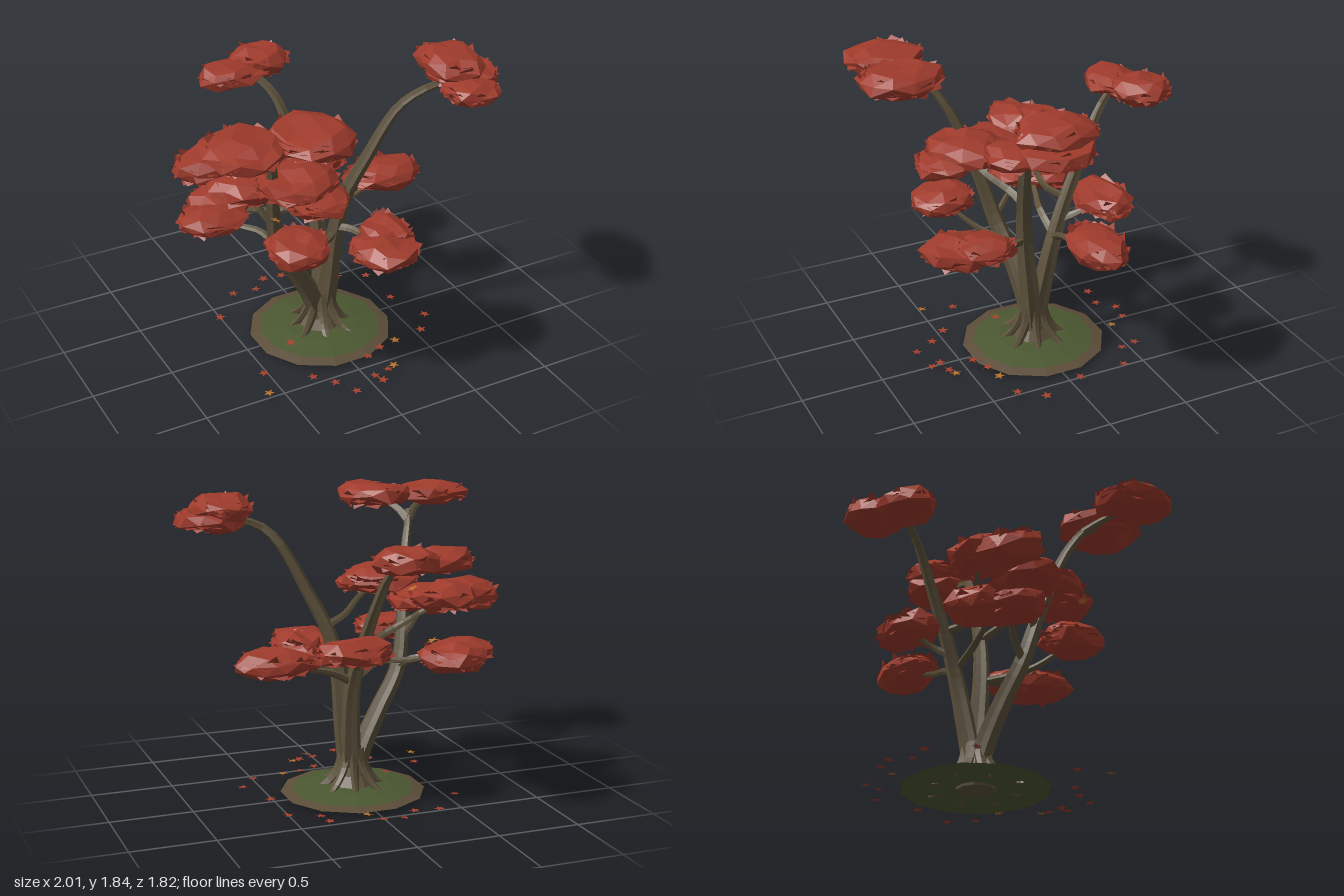
import * as THREE from 'three';
import { mergeGeometries } from 'three/addons/utils/BufferGeometryUtils.js';

const V = (x, y, z) => new THREE.Vector3(x, y, z);
const std = (name, color, side = THREE.FrontSide) => {
  const m = new THREE.MeshStandardMaterial({ color, side, flatShading: true });
  m.name = name;
  return m;
};

// small seeded random source
function seeded(seed) {
  let s = seed * 7919 + 17;
  return () => {
    s = (s * 1664525 + 1013904223) % 4294967296;
    return s / 4294967296;
  };
}

// tapered, ridged limb along a smooth path
function limb(points, r0, r1, sides = 8, segments = 14, ridge = 0.13) {
  const curve = new THREE.CatmullRomCurve3(points.map(p => V(...p)));
  const geo = new THREE.TubeGeometry(curve, segments, 1, sides, false);
  const pos = geo.attributes.position, v = V(0, 0, 0);
  for (let i = 0; i <= segments; i++) {
    const c = curve.getPointAt(i / segments);
    const r = THREE.MathUtils.lerp(r0, r1, i / segments);
    for (let j = 0; j <= sides; j++) {
      const k = i * (sides + 1) + j;
      v.fromBufferAttribute(pos, k).sub(c);
      v.multiplyScalar(r * (1 + (j % 2 ? ridge : -ridge))).add(c);
      pos.setXYZ(k, v.x, v.y, v.z);
    }
  }
  return geo;
}

// flattened, uneven clump of foliage with large facets
function clump([x, y, z, rx, ry, rz], seed) {
  const rnd = seeded(seed), seen = new Map();
  const geo = new THREE.IcosahedronGeometry(1, 1);
  geo.rotateY(rnd() * 6).rotateX(rnd() * 6);
  const pos = geo.attributes.position, v = V(0, 0, 0);
  for (let i = 0; i < pos.count; i++) {
    v.fromBufferAttribute(pos, i);
    const key = [v.x, v.y, v.z].map(n => Math.round(n * 1000)).join();
    if (!seen.has(key)) seen.set(key, [0.88 + 0.2 * rnd(), (rnd() - 0.5) * 0.45]);
    const [k, dy] = seen.get(key);
    const h = Math.sign(v.y) * Math.abs(v.y) ** 0.8;
    pos.setXYZ(i, x + v.x * k * rx, y + (h * k + dy) * ry, z + v.z * k * rz);
  }
  return geo;
}

// leaf points lying along the sides of a clump
function leafTips([x, y, z, rx, ry, rz], seed) {
  const rnd = seeded(seed + 100), out = [];
  for (let i = 0; i < 56; i++) {
    const a = rnd() * Math.PI * 2, h = rnd() * 1.3 - 0.75, w = Math.sqrt(1 - h * h);
    const at = (da, s, dh) => out.push(
      x + Math.cos(a + da) * w * s * rx, y + (h + dh) * s * ry, z + Math.sin(a + da) * w * s * rz);
    const d = 0.15 + rnd() * 0.2;
    at(-d, 0.9, 0);
    at((rnd() - 0.5) * 0.5, 1 + rnd() * 0.04, (rnd() - 0.4) * 0.8);
    at(d, 0.9, (rnd() - 0.5) * 0.5);
  }
  const geo = new THREE.BufferGeometry();
  geo.setAttribute('position', new THREE.Float32BufferAttribute(out, 3));
  geo.computeVertexNormals();
  return geo;
}

// five-pointed leaf lying flat
function starLeaf(r, turn) {
  const shape = new THREE.Shape();
  for (let i = 0; i < 10; i++) {
    const a = i * Math.PI / 5 + turn, k = i % 2 ? r * 0.42 : r;
    shape[i ? 'lineTo' : 'moveTo'](Math.cos(a) * k, Math.sin(a) * k);
  }
  return new THREE.ShapeGeometry(shape).rotateX(-Math.PI / 2);
}

export function createModel() {
  const model = new THREE.Group();
  const bark = std('bark brown', 0x5e523c);
  const grass = std('moss green', 0x4b5831);
  const soil = std('soil brown', 0x5c4d39);
  const red = std('leaf red', 0x9f3b2c);
  const tipRed = std('leaf tip red', 0x9a382a, THREE.DoubleSide);
  const fallenRed = std('fallen leaf red', 0xa8402c, THREE.DoubleSide);
  const orange = std('leaf orange', 0xb5702a, THREE.DoubleSide);
  const add = (name, geo, mat, parent = model) => {
    const m = new THREE.Mesh(geo, mat);
    m.name = name;
    parent.add(m);
    return m;
  };
  const lathe = (pts, n) => new THREE.LatheGeometry(pts.map(p => new THREE.Vector2(...p)), n, Math.PI / 12);

  // low mound of ground with a bare rim
  add('groundTop', lathe([[0.375, 0.032], [0.22, 0.056], [0, 0.066]], 12), grass);
  add('groundRim', lathe([[0.44, 0.016], [0.375, 0.032]], 12), soil);
  add('groundUnderside', lathe([[0, 0.02], [0.44, 0.016]], 12), grass);

  // flared foot and spreading roots
  add('trunkFoot', lathe([[0, 0.004], [0.115, 0.004], [0.13, 0.06], [0.092, 0.12], [0.073, 0.19],
    [0.064, 0.27], [0, 0.31]], 10), bark);
  const roots = [];
  for (let i = 0; i < 8; i++) {
    const a = i * Math.PI / 4 + 0.25, c = Math.cos(a), s = Math.sin(a), k = i % 2 ? 1 : 0.9;
    roots.push(limb([[c * 0.045, 0.28, s * 0.045], [c * 0.078, 0.17, s * 0.078],
      [c * 0.15 * k, 0.08, s * 0.15 * k], [c * 0.22 * k, 0.036, s * 0.22 * k],
      [c * 0.3 * k, 0.012, s * 0.3 * k]], 0.034, 0.013, 6, 10));
  }
  add('roots', mergeGeometries(roots), bark);

  // three main stems
  const stems = [
    [[[-0.01, 0.15, 0], [-0.08, 0.31, 0.02], [-0.19, 0.5, 0.05], [-0.33, 0.73, 0.1], [-0.39, 1, 0.17],
      [-0.47, 1.42, 0.32], [-0.53, 1.58, 0.42], [-0.55, 1.63, 0.48]], 0.062, 0.02],
    [[[0.02, 0.15, 0.01], [0.04, 0.4, 0.04], [0.06, 0.75, 0.08], [0.11, 0.98, 0.11], [0.22, 1.22, 0.16],
      [0.38, 1.52, 0.22], [0.48, 1.62, 0.27], [0.68, 1.68, 0.3]], 0.062, 0.019],
    [[[0.01, 0.15, -0.01], [0.03, 0.4, -0.05], [0.04, 0.68, -0.11], [0.02, 0.9, -0.19],
      [-0.02, 1.22, -0.34], [-0.06, 1.42, -0.45], [-0.11, 1.5, -0.54], [-0.18, 1.53, -0.66]], 0.06, 0.017],
  ];
  stems.forEach(([p, a, b], i) => add('stem' + (i + 1), limb(p, a, b, 10, 24), bark));

  // side branches, sagging then rising into the clumps
  const branches = [
    [[0.03, 0.72, -0.12], [0.17, 0.79, -0.11], [0.3, 0.82, -0.1], [0.5, 0.88, -0.15]],
    [[0.02, 0.82, -0.16], [0.08, 0.87, -0.25], [0.12, 0.97, -0.4]],
    [[0.06, 0.76, 0.08], [0.12, 0.78, 0.2], [0.14, 0.79, 0.34], [0.14, 0.85, 0.52]],
    [[0.05, 0.72, 0.08], [-0.06, 0.75, 0.2], [-0.2, 0.79, 0.3], [-0.36, 0.9, 0.42]],
    [[0.01, 0.96, -0.21], [-0.12, 0.99, -0.14], [-0.28, 1.07, -0.15], [-0.36, 1.15, -0.24], [-0.5, 1.22, -0.28]],
    [[-0.38, 0.92, 0.14], [-0.45, 1.03, 0.1], [-0.48, 1.15, 0.04]],
    [[0.13, 1.02, 0.11], [0, 1.07, 0.15], [-0.13, 1.15, 0.25], [-0.3, 1.25, 0.32]],
    [[-0.33, 0.72, 0.1], [-0.39, 0.8, 0], [-0.5, 0.83, -0.1], [-0.58, 0.88, -0.2]],
    [[0.03, 0.74, -0.12], [-0.12, 0.83, -0.11], [-0.3, 0.84, -0.17], [-0.52, 0.88, -0.24]],
    [[-0.53, 1.58, 0.42], [-0.6, 1.64, 0.49], [-0.75, 1.71, 0.6]],
    [[-0.53, 1.58, 0.42], [-0.5, 1.64, 0.51], [-0.4, 1.71, 0.64]],
  ];
  add('branches', mergeGeometries(branches.map(p => limb(p, 0.026, 0.013, 7, 10))), bark);

  // foliage clumps: centre and half-sizes
  const clumps = {
    backHigh: [[-0.24, 1.53, -0.66, 0.23, 0.07, 0.17], [-0.03, 1.55, -0.74, 0.2, 0.08, 0.18]],
    rightHigh: [[-0.77, 1.72, 0.61, 0.23, 0.07, 0.25], [-0.4, 1.72, 0.65, 0.24, 0.08, 0.26]],
    leftHigh: [[0.73, 1.75, 0.22, 0.19, 0.08, 0.25], [0.79, 1.68, 0.26, 0.21, 0.07, 0.24],
      [0.73, 1.67, 0.46, 0.17, 0.065, 0.17]],
    rightBackMiddle: [[-0.6, 1.22, -0.2, 0.25, 0.09, 0.2], [-0.46, 1.23, -0.28, 0.21, 0.08, 0.19]],
    rightMiddle: [[-0.48, 1.16, 0.03, 0.24, 0.075, 0.22]],
    rightFrontMiddle: [[-0.3, 1.25, 0.3, 0.25, 0.08, 0.25], [-0.26, 1.2, 0.45, 0.19, 0.065, 0.19]],
    rightBackLow: [[-0.62, 0.87, -0.18, 0.22, 0.07, 0.19], [-0.5, 0.88, -0.33, 0.2, 0.08, 0.2]],
    rightFrontLow: [[-0.37, 0.92, 0.43, 0.19, 0.08, 0.2]],
    frontLow: [[0.13, 0.83, 0.55, 0.21, 0.08, 0.22], [0.22, 0.85, 0.41, 0.15, 0.08, 0.19]],
    leftLow: [[0.52, 0.89, -0.16, 0.26, 0.085, 0.17]],
    backLow: [[0.14, 0.97, -0.39, 0.25, 0.08, 0.18]],
  };
  let seed = 1;
  for (const [name, list] of Object.entries(clumps)) {
    const group = new THREE.Group();
    group.name = name + 'Foliage';
    model.add(group);
    for (const c of list) {
      add('clump', clump(c, ++seed), red, group);
      add('leafTips', leafTips(c, seed), tipRed, group);
    }
  }

  // fallen leaves around the tree
  const fallenLeaves = [
    [0.34, -0.53], [0.36, -0.43], [0.53, -0.35], [0.52, 0.355], [-0.14, 0.72], [-0.54, 0.31],
    [-0.08, -0.63], [0.04, -0.61], [-0.18, -0.54], [0.54, -0.05], [0.63, 0.22], [0.2, 0.4],
    [0.09, 0.45], [0.13, 0.62], [0.03, 0.64], [-0.21, 0.59], [-0.33, -0.56], [-0.52, -0.35],
    [0.05, 0.7], [-0.3, 0.48], [-0.27, 0.13],
  ];
  const orangeLeaves = [[0.32, 0.38], [0.18, 0.6], [-0.6, 0.5], [0.1, -0.5]];
  const rnd = seeded(5);
  const scatter = list => list.map(([x, z]) =>
    starLeaf(0.036, rnd() * 6).rotateX((rnd() - 0.5) * 0.25).rotateZ((rnd() - 0.5) * 0.25)
      .translate(x, Math.hypot(x, z) < 0.4 ? 0.058 : 0.036, z));
  add('redLeaves', mergeGeometries(scatter(fallenLeaves)), fallenRed);

  // orange leaves on the ground and caught in the foliage
  const caught = [[-0.5, 1.13, 0.42], [-0.3, 1.28, -0.2], [-0.42, 0.96, -0.22]].map(([x, y, z]) =>
    starLeaf(0.04, rnd() * 6).rotateZ(-0.4).translate(x, y, z));
  add('orangeLeaves', mergeGeometries([...scatter(orangeLeaves), ...caught]), orange);

  return model;
}
